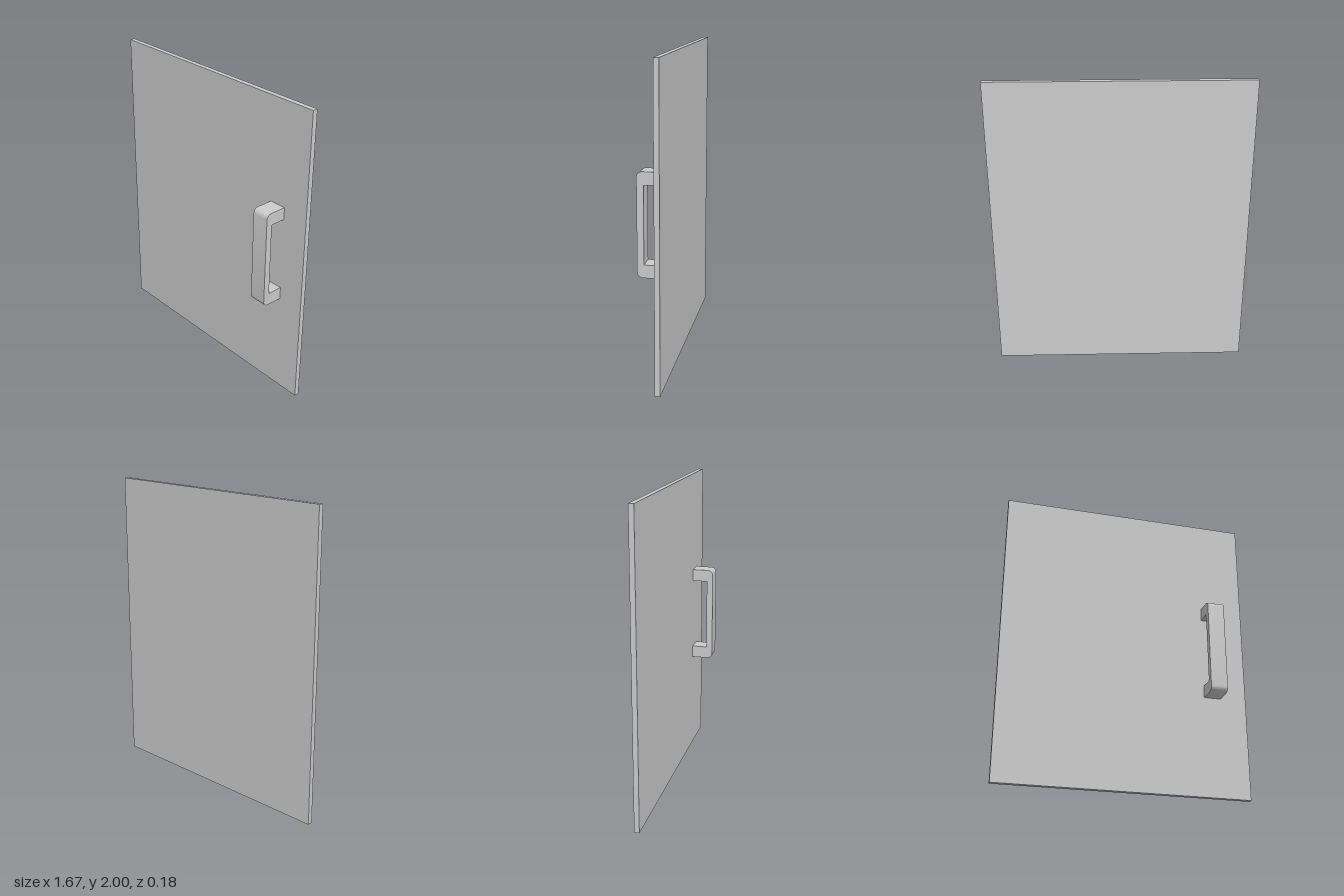
import * as THREE from 'three';
import { toCreasedNormals } from 'three/addons/utils/BufferGeometryUtils.js';

const material = new THREE.MeshStandardMaterial({ color: 0xcccccc });

// C-shaped side profile (z, y) with rounded front corners, extruded across x
function handleGeometry(width) {
  const back = -0.055, front = 0.088, inner = 0.046;
  const bottom = 0.676, top = 1.327, innerBottom = 0.758, innerTop = 1.246, r = 0.035;
  const s = new THREE.Shape();
  s.moveTo(back, bottom);
  s.lineTo(front - r, bottom);
  s.absarc(front - r, bottom + r, r, -Math.PI / 2, 0, false);
  s.lineTo(front, top - r);
  s.absarc(front - r, top - r, r, 0, Math.PI / 2, false);
  s.lineTo(back, top);
  s.lineTo(back, innerTop);
  s.lineTo(inner, innerTop);
  s.lineTo(inner, innerBottom);
  s.lineTo(back, innerBottom);
  s.closePath();
  const g = new THREE.ExtrudeGeometry(s, { depth: width, bevelEnabled: false, curveSegments: 8 });
  g.translate(0, 0, -width / 2);
  g.rotateY(-Math.PI / 2);
  return toCreasedNormals(g, Math.PI / 6);
}

export function createModel() {
  const group = new THREE.Group();
  group.name = 'cabinetDoor';

  // Flat door panel
  const panel = new THREE.Mesh(new THREE.BoxGeometry(1.67, 2, 0.033), material);
  panel.name = 'doorPanel';
  panel.position.set(0, 1, -0.0715);
  group.add(panel);

  // Pull handle
  const handle = new THREE.Mesh(handleGeometry(0.114), material);
  handle.name = 'handle';
  handle.position.x = 0.6;
  group.add(handle);

  return group;
}
